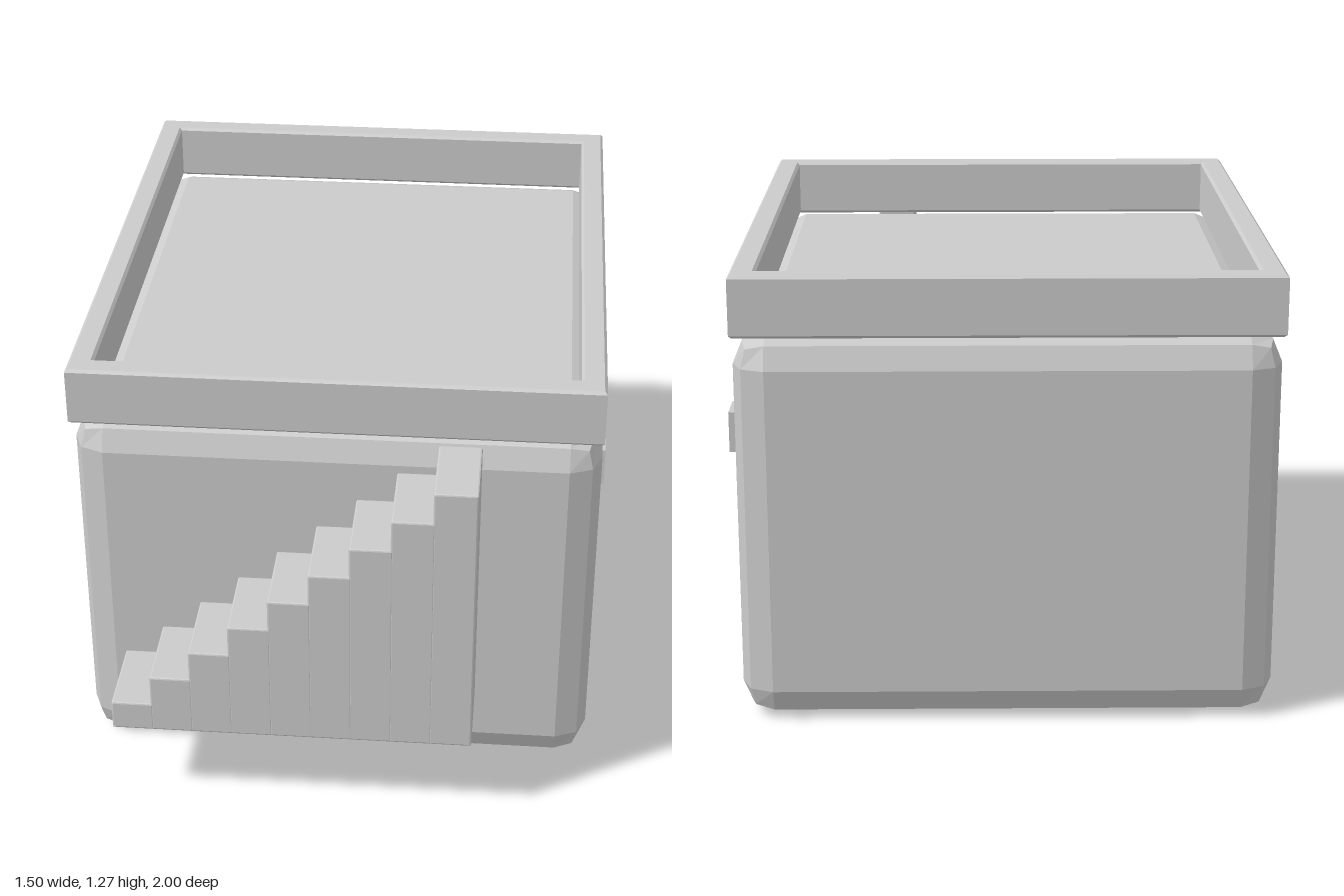
import * as THREE from 'three';
import { RoundedBoxGeometry } from 'three/addons/geometries/RoundedBoxGeometry.js';

const material = new THREE.MeshStandardMaterial({ color: 0xcccccc, flatShading: true });

function addMesh(parent, name, geometry, x = 0, y = 0, z = 0) {
  const mesh = new THREE.Mesh(geometry, material);
  mesh.name = name;
  mesh.position.set(x, y, z);
  parent.add(mesh);
  return mesh;
}

// Rectangle outline from its bounds
function rectangle(Type, x0, y0, x1, y1) {
  return new Type().moveTo(x0, y0).lineTo(x1, y0).lineTo(x1, y1).lineTo(x0, y1).closePath();
}

export function createModel() {
  const house = new THREE.Group();
  house.name = 'house';

  const cx = -0.01, cz = -0.135, width = 1.48, depth = 1.73;

  // Walls: one block with chamfered edges
  addMesh(house, 'walls', new RoundedBoxGeometry(width, 1.1, depth, 1, 0.09), cx, 0.55, cz);

  // Parapet: bevelled rectangular ring around the flat roof
  const bevel = 0.008, rim = 0.07;
  const ring = rectangle(THREE.Shape, -width / 2, -depth / 2, width / 2, depth / 2);
  ring.holes.push(rectangle(THREE.Path, -width / 2 + rim, -depth / 2 + rim, width / 2 - rim, depth / 2 - rim));
  const parapet = new THREE.ExtrudeGeometry(ring, {
    depth: 0.17 - 2 * bevel,
    bevelSize: bevel,
    bevelThickness: bevel,
    bevelOffset: -bevel,
    bevelSegments: 1,
  });
  parapet.translate(0, 0, bevel).rotateX(-Math.PI / 2);
  addMesh(house, 'parapet', parapet, cx, 1.1, cz);

  // Outside staircase: columns of rising height
  const stairs = new THREE.Group();
  stairs.name = 'staircase';
  house.add(stairs);
  const bottom = 0.255, pitch = 0.1131, stepWidth = 0.12;
  for (let i = 0; i < 9; i++) {
    const height = 0.09 + i * 0.0938;
    addMesh(stairs, `step${i + 1}`, new RoundedBoxGeometry(stepWidth, height, 0.25, 1, 0.005),
      -0.625 + stepWidth / 2 + i * pitch, bottom + height / 2, 0.875);
  }

  // Door and windows: thin panels on the side wall
  const panel = (name, height, length, y, z) =>
    addMesh(house, name, new THREE.BoxGeometry(0.04, height, length), 0.73, y, z);
  panel('door', 0.53, 0.25, 0.52, -0.478);
  panel('frontWindow', 0.113, 0.11, 0.806, 0.305);
  panel('rearWindow', 0.113, 0.11, 0.806, -0.825);

  return house;
}
